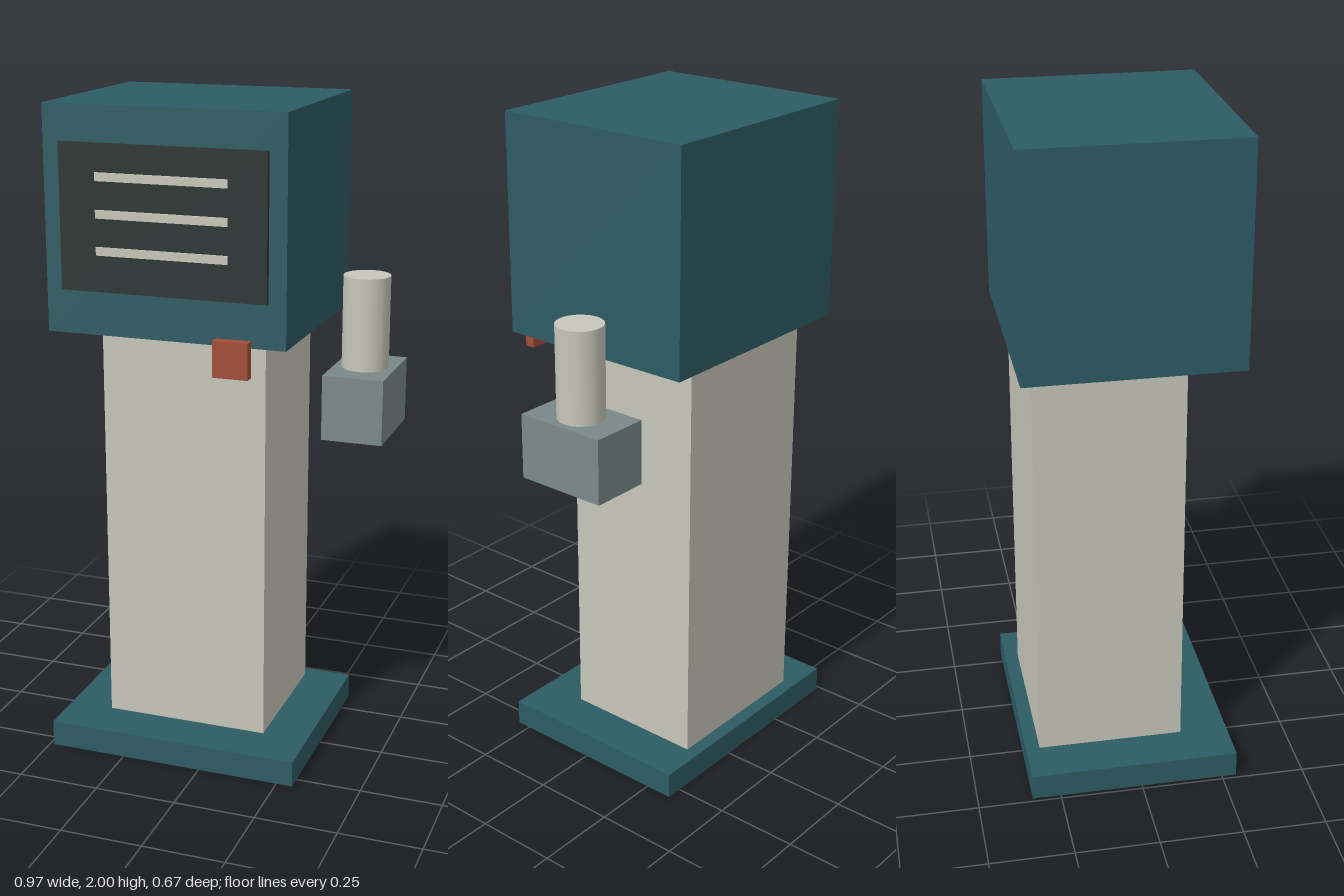
import * as THREE from 'three';

const paint = (name, color) => {
  const m = new THREE.MeshStandardMaterial({ color });
  m.name = name;
  return m;
};

export function createModel() {
  const teal = paint('teal', 0x2d5c64);
  const cream = paint('cream', 0xc8c7ba);
  const charcoal = paint('charcoal', 0x2d3433);
  const grey = paint('grey', 0x7b898b);
  const rust = paint('rust', 0xa34e36);

  const model = new THREE.Group();
  model.name = 'pedestalTerminal';

  const add = (name, geometry, material, x, y, z) => {
    const mesh = new THREE.Mesh(geometry, material);
    mesh.name = name;
    mesh.position.set(x, y, z);
    model.add(mesh);
  };
  // Box given by its extents along each axis
  const box = (name, material, [x0, x1], [y0, y1], [z0, z1]) =>
    add(name, new THREE.BoxGeometry(x1 - x0, y1 - y0, z1 - z0), material,
      (x0 + x1) / 2, (y0 + y1) / 2, (z0 + z1) / 2);

  // Foot, column and head
  box('base', teal, [-0.487, 0.3], [0, 0.08], [-0.336, 0.294]);
  box('column', cream, [-0.35, 0.16], [0.08, 1.33], [-0.294, 0.148]);
  box('head', teal, [-0.455, 0.267], [1.346, 2], [-0.336, 0.294]);

  // Screen with three raised lines
  box('screen', charcoal, [-0.402, 0.215], [1.476, 1.896], [0.294, 0.309]);
  for (const y of [1.594, 1.699, 1.804]) {
    box('screenLine', cream, [-0.291, 0.102], [y - 0.012, y + 0.012], [0.307, 0.315]);
  }

  // Button below the screen
  box('button', rust, [0.064, 0.169], [1.264, 1.37], [0.305, 0.336]);

  // Side holder with an upright cylinder
  box('holder', grey, [0.302, 0.485], [1.022, 1.218], [-0.231, 0.055]);
  add('canister', new THREE.CylinderGeometry(0.07, 0.07, 0.277, 20), cream, 0.393, 1.3565, -0.088);

  return model;
}
